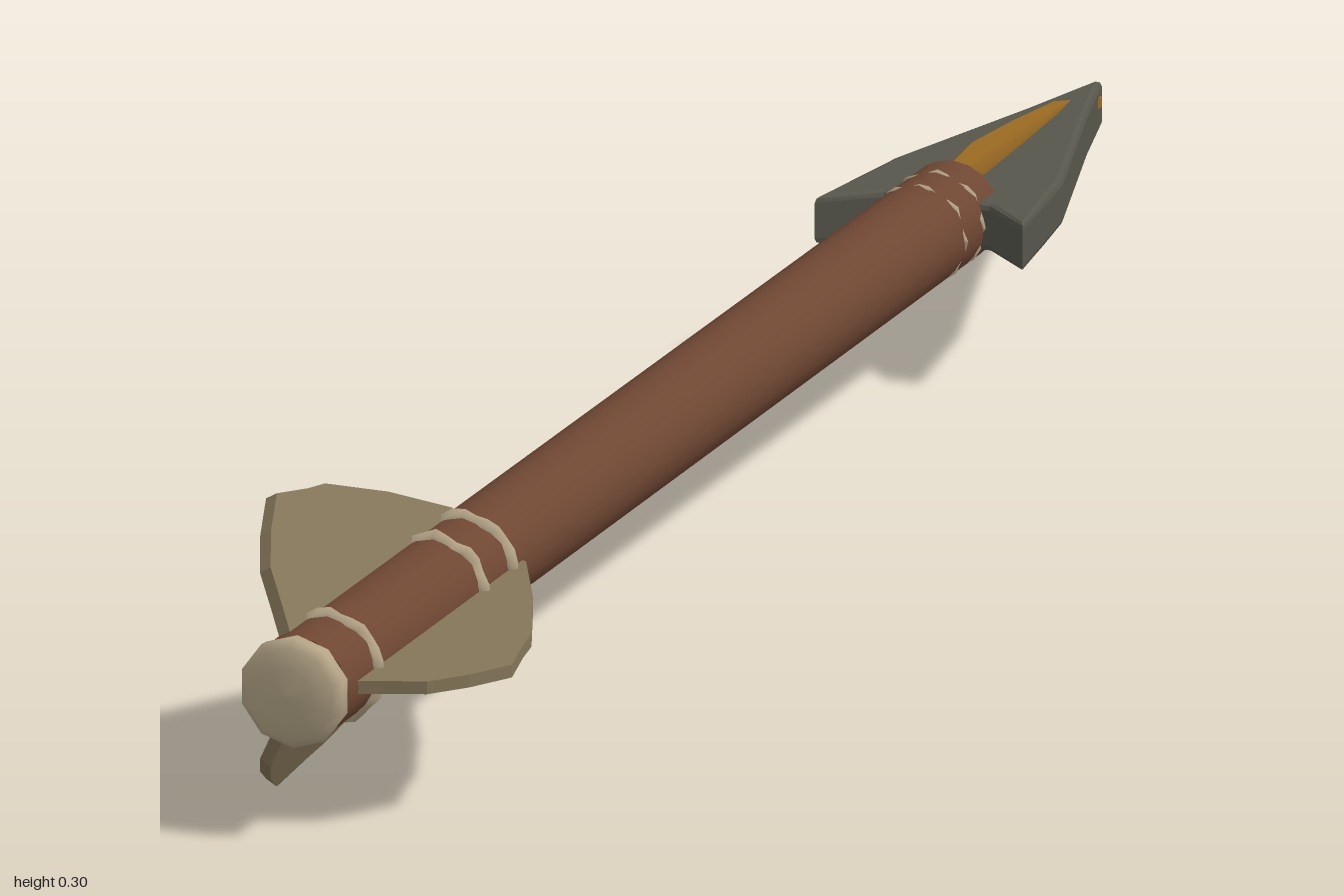
import * as THREE from 'three';

const mat = (name, color, extra = {}) => {
  const m = new THREE.MeshStandardMaterial({ color, ...extra });
  m.name = name;
  return m;
};

export function createModel() {
  const wood = mat('brown wood', 0x6f4733);
  const stone = mat('grey stone', 0x56564c);
  const feather = mat('feather tan', 0x857659);
  const cord = mat('pale cord', 0xb8a88a);
  const gold = mat('gold', 0x9a6a22);

  // Everything is built round the z axis, then moved to the shaft's place
  const model = new THREE.Group();
  model.name = 'arrow';
  const body = new THREE.Group();
  body.name = 'arrowBody';
  body.position.set(-0.03, 0.15, 0);
  model.add(body);

  const add = (name, geometry, material) => {
    const mesh = new THREE.Mesh(geometry, material);
    mesh.name = name;
    body.add(mesh);
    return mesh;
  };

  // Plate lying in the xz plane, from an outline of [x, z] points
  const plate = (outline, thickness, bevel) => {
    const shape = new THREE.Shape(outline.map(([x, z]) => new THREE.Vector2(x, -z)));
    const depth = thickness - 2 * bevel;
    const g = new THREE.ExtrudeGeometry(shape, {
      depth, bevelEnabled: bevel > 0, bevelThickness: bevel,
      bevelSize: bevel, bevelOffset: -bevel, bevelSegments: 2,
    });
    return g.translate(0, 0, -depth / 2).rotateX(-Math.PI / 2);
  };

  // Shaft
  const shaft = new THREE.CylinderGeometry(0.05, 0.052, 1.61, 20);
  add('shaft', shaft.rotateX(-Math.PI / 2).translate(0, 0, 0.165), wood);

  // Rounded nock cap at the tail
  const capProfile = [[0, -0.018], [0.046, -0.018], [0.055, -0.01], [0.056, 0.002],
    [0.047, 0.01], [0.027, 0.015], [0, 0.017]].map(([r, y]) => new THREE.Vector2(r, y));
  const cap = new THREE.LatheGeometry(capProfile, 10);
  add('nockCap', cap.rotateX(Math.PI / 2).translate(0, 0, 0.983), cord);

  // Three fletchings
  const finOutline = [[0.04, 0.535], [0.055, 0.54], [0.105, 0.64], [0.148, 0.745], [0.154, 0.78],
    [0.168, 0.84], [0.142, 0.885], [0.113, 0.92], [0.075, 0.935], [0.04, 0.95]];
  for (let i = 0; i < 3; i++) {
    const fin = add('fletching', plate(finOutline, 0.013, 0), feather);
    fin.rotation.z = i * Math.PI * 2 / 3;
  }

  // Lumpy cord bindings; those by the head are nearly sunk in the wood
  const binding = (z, radius, tube) => {
    const g = new THREE.TorusGeometry(radius, tube, 6, 28);
    const p = g.attributes.position;
    for (let i = 0; i < p.count; i++) {
      const a = Math.atan2(p.getY(i), p.getX(i));
      const k = 1 + 0.035 * Math.sin(a * 9 + z * 20);
      p.setXYZ(i, p.getX(i) * k, p.getY(i) * k, p.getZ(i) + 0.003 * Math.sin(a * 7));
    }
    g.computeVertexNormals();
    add('cordBinding', g.translate(0, 0, z), cord);
  };
  for (const z of [0.563, 0.635, 0.895]) binding(z, 0.049, 0.009);
  for (const z of [-0.555, -0.6]) binding(z, 0.0452, 0.0055);

  // Barbed arrowhead, mirrored from one half
  const half = [[0.004, -0.998], [0.03, -0.9], [0.088, -0.705], [0.098, -0.64], [0.109, -0.556], [0.055, -0.6]];
  const mirrored = half.map(([x, z]) => [-x, z]).reverse();
  add('arrowhead', plate([...half, ...mirrored], 0.048, 0.006), stone);

  // Raised gold rib on top of the head
  const ribProfile = [[0, 0.57], [0.024, 0.64], [0.03, 0.69], [0.022, 0.79], [0.011, 0.89], [0, 0.93]]
    .map(([r, y]) => new THREE.Vector2(r, y));
  const rib = new THREE.LatheGeometry(ribProfile, 8).rotateX(-Math.PI / 2).scale(0.45, 1, 1);
  add('headRib', rib.translate(0, 0.024, 0), gold);

  // Gold fleck showing through the sides of the point
  add('tipFleck', new THREE.BoxGeometry(0.021, 0.01, 0.01).translate(0, 0.008, -0.978), gold);

  return model;
}
